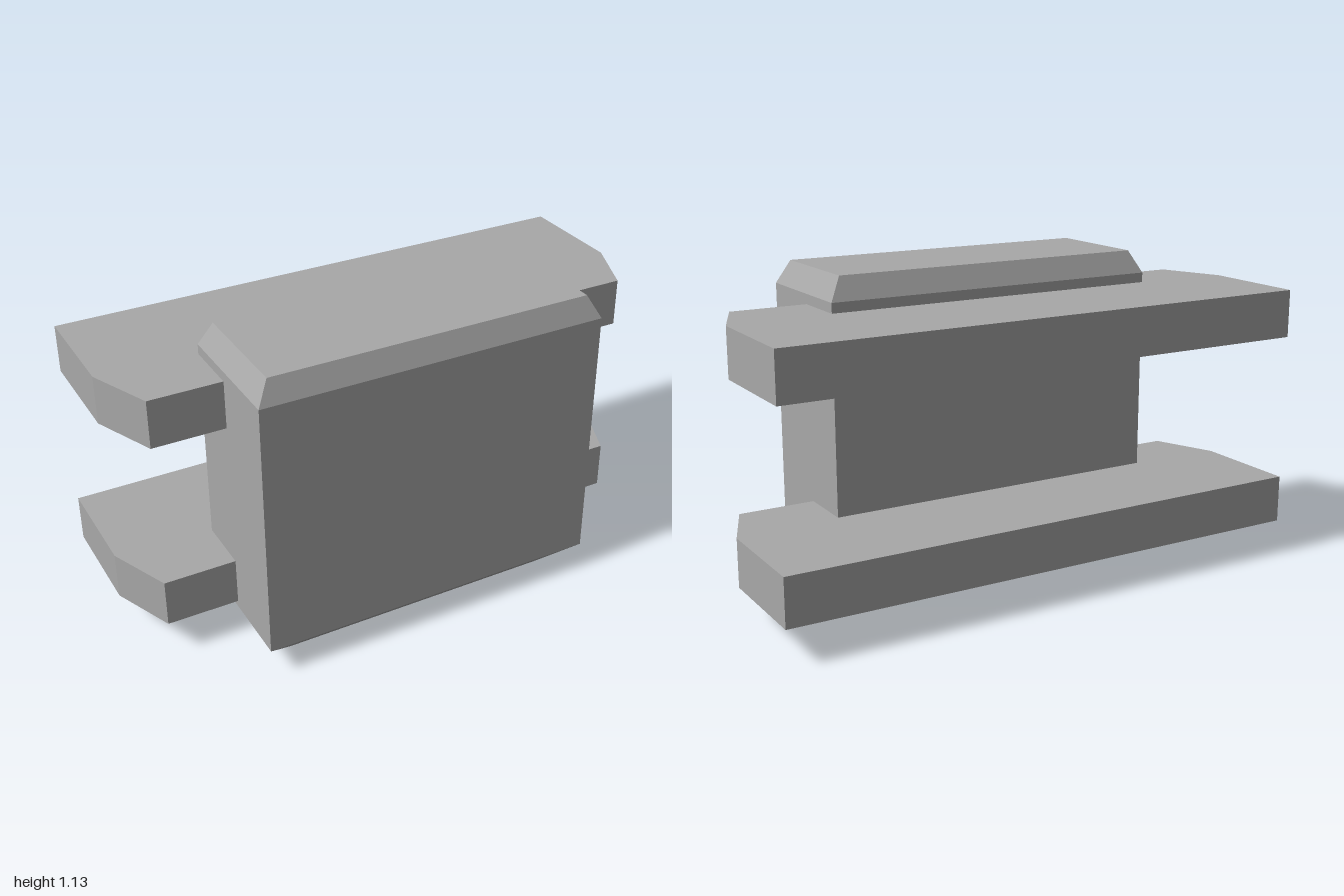
import * as THREE from 'three';

// Stacks rectangular sections [y, x0, x1, z0, z1] into a closed faceted solid
function loftRects(sections) {
  const rings = sections.map(([y, x0, x1, z0, z1]) => [
    [x0, y, z1], [x1, y, z1], [x1, y, z0], [x0, y, z0],
  ]);
  const positions = [];
  const quad = (a, b, c, d) => positions.push(...a, ...b, ...c, ...a, ...c, ...d);
  for (let i = 0; i < rings.length - 1; i++) {
    const lower = rings[i], upper = rings[i + 1];
    for (let k = 0; k < 4; k++) {
      const n = (k + 1) % 4;
      quad(lower[k], lower[n], upper[n], upper[k]);
    }
  }
  const bottom = rings[0], top = rings[rings.length - 1];
  quad(top[0], top[1], top[2], top[3]);
  quad(bottom[3], bottom[2], bottom[1], bottom[0]);
  const geometry = new THREE.BufferGeometry();
  geometry.setAttribute('position', new THREE.Float32BufferAttribute(positions, 3));
  geometry.computeVertexNormals();
  return geometry;
}

export function createModel() {
  const model = new THREE.Group();
  model.name = 'bracketedBlock';
  const grey = new THREE.MeshStandardMaterial({ color: 0xa8a8a8 });
  grey.name = 'plain grey';

  // Upright block with a narrow top bevel and a deeper bottom taper
  const body = new THREE.Mesh(loftRects([
    [0, -0.522, 0.504, 0.078, 0.342],
    [0.107, -0.645, 0.627, -0.031, 0.45],
    [1.052, -0.645, 0.627, -0.031, 0.45],
    [1.135, -0.6, 0.582, 0.002, 0.417],
  ]), grey);
  body.name = 'body';
  model.add(body);

  // Slab outline in plan (x, -z), with chamfered front corners
  const outline = new THREE.Shape([
    [-1, 0.45], [-1, 0.05], [-0.905, -0.178],
    [0.905, -0.178], [1, 0.05], [1, 0.45],
  ].map(([x, y]) => new THREE.Vector2(x, y)));
  const slabGeometry = new THREE.ExtrudeGeometry(outline, { depth: 0.174, bevelEnabled: false });
  slabGeometry.rotateX(-Math.PI / 2);

  // Two identical slabs passing behind the block
  for (const [name, y] of [['lowerSlab', 0.132], ['upperSlab', 0.842]]) {
    const slab = new THREE.Mesh(slabGeometry, grey);
    slab.name = name;
    slab.position.y = y;
    model.add(slab);
  }
  return model;
}
